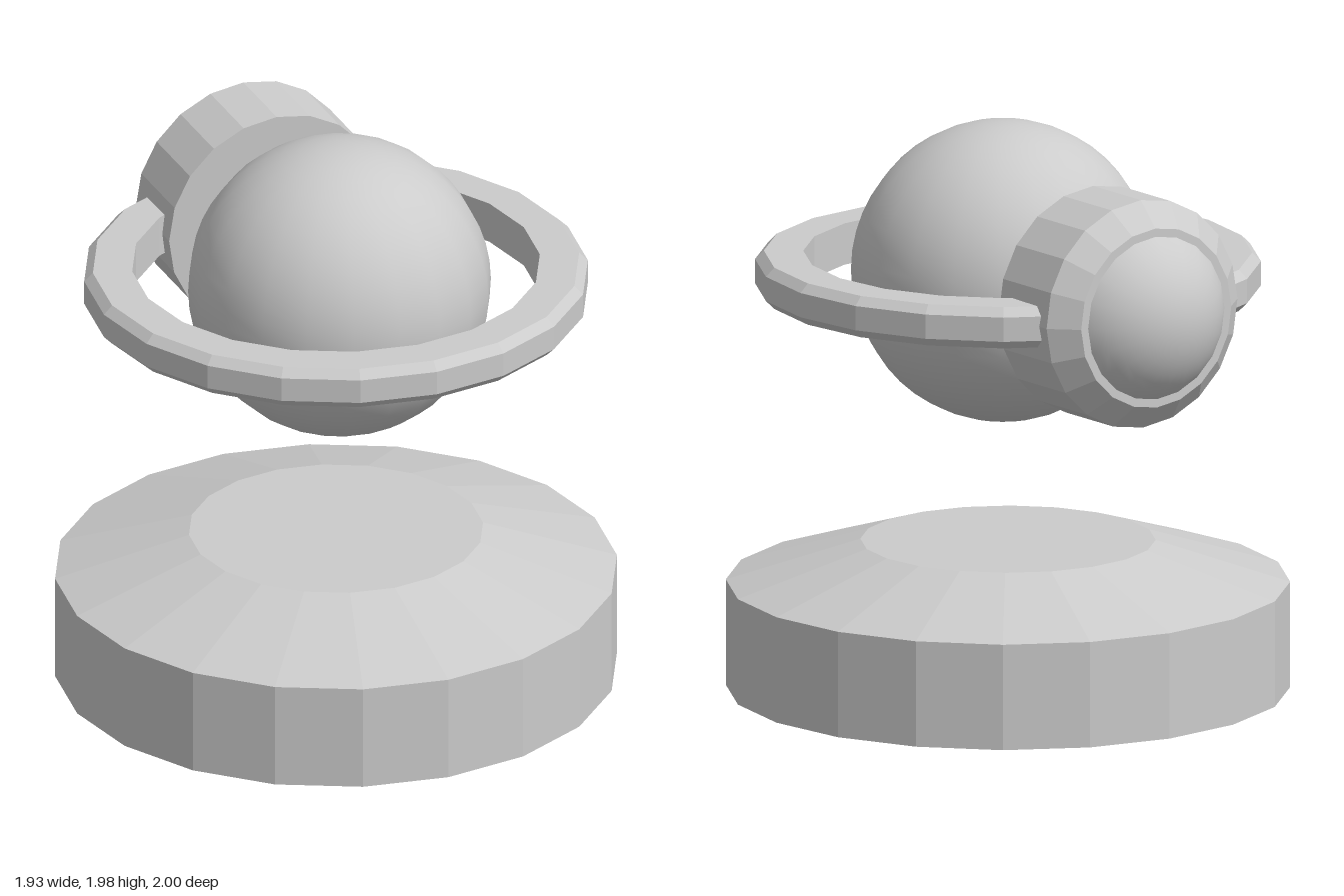
import * as THREE from 'three';

const SIDES = 20;
const faceted = new THREE.MeshStandardMaterial({ color: 0xcccccc, flatShading: true });
const smooth = new THREE.MeshStandardMaterial({ color: 0xcccccc });

// Faceted solid of revolution from [radius, height] pairs, listed bottom to top
function turned(name, profile) {
  const points = profile.map(([r, y]) => new THREE.Vector2(r, y));
  const mesh = new THREE.Mesh(new THREE.LatheGeometry(points, SIDES), faceted);
  mesh.name = name;
  return mesh;
}

export function createModel() {
  const model = new THREE.Group();
  model.name = 'ringedSphereOnBase';

  // Round base with a sloped shoulder and flat top
  const base = turned('base', [[0, 0], [0.965, 0], [0.965, 0.37], [0.505, 0.515], [0, 0.515]]);
  base.position.z = 0.035;

  // Floating ball
  const ball = new THREE.Mesh(new THREE.SphereGeometry(0.52, SIDES, 24), smooth);
  ball.name = 'ball';
  ball.position.set(0, 1.455, 0.065);

  // Flat ring with bevelled outer edges, running into the thruster
  const ring = turned('ring', [
    [0.7, 1.38], [0.835, 1.38], [0.865, 1.41], [0.865, 1.495],
    [0.835, 1.525], [0.7, 1.525], [0.7, 1.38],
  ]);
  ring.position.z = 0.035;

  // Rear thruster: bevelled drum with a domed end, tilted very slightly upward
  const thruster = new THREE.Group();
  thruster.name = 'thruster';
  const drum = turned('thrusterDrum', [[0, 0], [0.398, 0], [0.398, 0.285], [0.313, 0.37], [0, 0.37]]);
  const dome = new THREE.Mesh(
    new THREE.SphereGeometry(0.345, SIDES, 10, 0, Math.PI * 2, 0, Math.PI * 0.36), smooth);
  dome.name = 'thrusterDome';
  dome.position.y = 0.175;
  thruster.add(drum, dome);
  thruster.position.set(0, 1.455, -0.48);
  thruster.rotation.x = -Math.PI / 2 + 0.017;

  model.add(base, ball, ring, thruster);
  return model;
}
